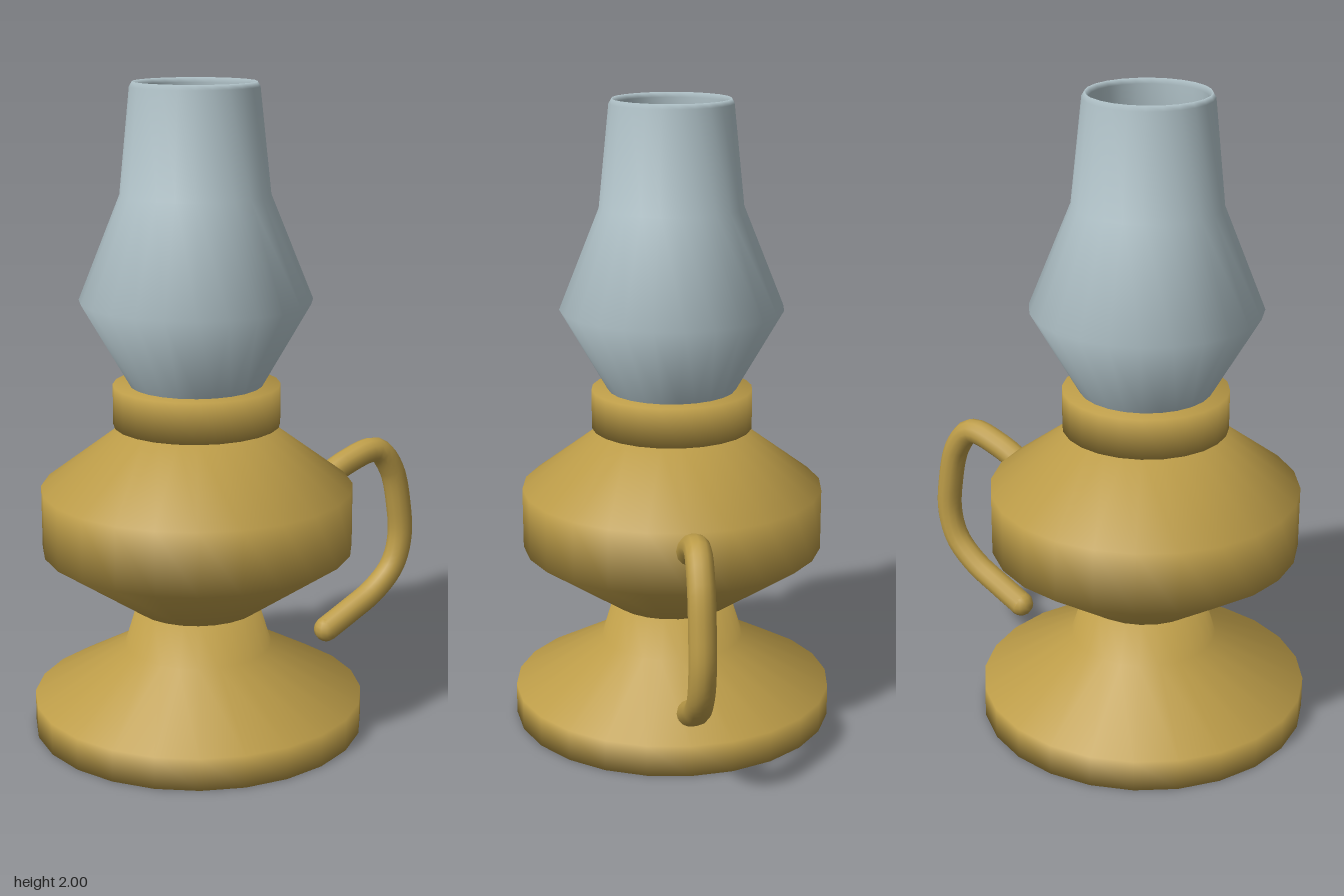
import * as THREE from 'three';

const AXIS_X = -0.16; // the lamp body stands left of centre, the handle balances it

function material(name, color) {
  const m = new THREE.MeshStandardMaterial({ color });
  m.name = name;
  return m;
}

// Turned part from [radius, height] pairs, listed from the bottom up
function turned(name, profile, mat, sides = 24) {
  const points = profile.map(([r, y]) => new THREE.Vector2(r, y));
  const mesh = new THREE.Mesh(new THREE.LatheGeometry(points, sides), mat);
  mesh.name = name;
  mesh.position.x = AXIS_X;
  return mesh;
}

export function createModel() {
  const brass = material('brass', 0xbc9c48);
  const glass = material('smoky glass', 0xb4c6cc);
  const flameYellow = material('flame yellow', 0xdcc444);

  const lamp = new THREE.Group();
  lamp.name = 'oilLamp';

  // Flared foot and waist
  lamp.add(turned('foot', [
    [0, 0], [0.515, 0], [0.515, 0.1], [0.23, 0.26], [0.19, 0.39], [0, 0.39],
  ], brass));

  // Oil reservoir
  lamp.add(turned('reservoir', [
    [0, 0.385], [0.195, 0.385], [0.48, 0.58], [0.48, 0.775], [0.22, 0.97], [0, 0.97],
  ], brass));

  // Burner collar
  lamp.add(turned('collar', [
    [0, 0.97], [0.255, 0.97], [0.255, 1.095], [0, 1.095],
  ], brass));

  // Chimney: up the outside, over the rim, down the inside to a closed floor
  lamp.add(turned('chimney', [
    [0.2, 1.09], [0.352, 1.355], [0.225, 1.67], [0.192, 1.985], [0.183, 2],
    [0.172, 1.985], [0.205, 1.67], [0.328, 1.355], [0.18, 1.12], [0, 1.1],
  ], glass));

  // Flame inside the chimney
  const flame = new THREE.Mesh(new THREE.SphereGeometry(0.095, 12, 10), flameYellow);
  flame.name = 'flame';
  flame.scale.y = 1.5;
  flame.position.set(AXIS_X, 1.24, 0);
  lamp.add(flame);

  // Carrying handle, a bent tube with rounded ends
  const path = [
    [0.28, 0.7], [0.4, 0.762], [0.52, 0.787], [0.583, 0.715], [0.617, 0.58],
    [0.624, 0.47], [0.595, 0.375], [0.52, 0.3], [0.42, 0.245], [0.33, 0.2],
  ].map(([x, y]) => new THREE.Vector3(x, y, 0));
  const curve = new THREE.CatmullRomCurve3(path);
  const handle = new THREE.Group();
  handle.name = 'handle';
  const tube = new THREE.Mesh(new THREE.TubeGeometry(curve, 40, 0.041, 12), brass);
  tube.name = 'handleTube';
  handle.add(tube);
  for (const end of [path[0], path[path.length - 1]]) {
    const cap = new THREE.Mesh(new THREE.SphereGeometry(0.041, 12, 8), brass);
    cap.name = 'handleEnd';
    cap.position.copy(end);
    handle.add(cap);
  }
  lamp.add(handle);

  return lamp;
}
